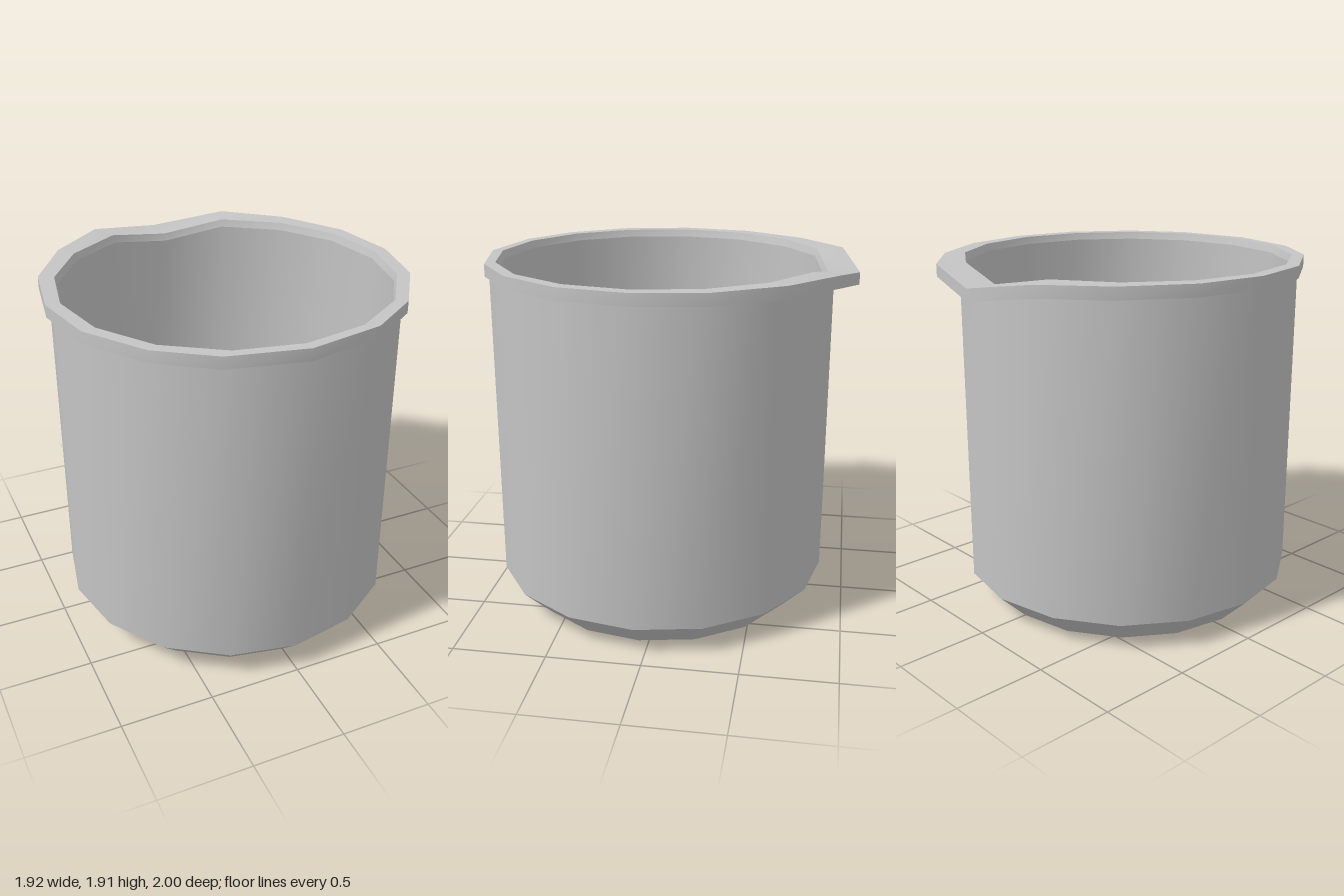
import * as THREE from 'three';
import { mergeGeometries } from 'three/addons/utils/BufferGeometryUtils.js';

const SIDES = 16;
const CENTRE_Z = 0.055;
const DROOP = 0.06; // how far the pouring lip dips at the back

// Round ring; the back corner can dip to follow the lip
function ring(radius, y, droop = 0) {
  return Array.from({ length: SIDES }, (_, k) => {
    const a = (k / SIDES) * Math.PI * 2;
    return [radius * Math.sin(a), y - (k === SIDES / 2 ? droop : 0), CENTRE_Z + radius * Math.cos(a)];
  });
}

// Outer edge of the rim, half outline from front to back, mirrored
const HALF_RIM = [
  [0, 1], [0.4, 0.915], [0.68, 0.72], [0.89, 0.41], [0.96, 0.05],
  [0.895, -0.325], [0.69, -0.66], [0.4, -0.905], [0, -1],
];
function rimRing(y) {
  return Array.from({ length: SIDES }, (_, k) => {
    const [x, z] = HALF_RIM[k <= 8 ? k : SIDES - k];
    return [k <= 8 ? x : -x, y - (k === 8 ? DROOP : 0), z];
  });
}

// Smooth band between two rings; separate bands keep creases sharp
function band(a, b) {
  const geometry = new THREE.BufferGeometry();
  geometry.setAttribute('position', new THREE.Float32BufferAttribute([...a, ...b].flat(), 3));
  const index = [];
  for (let k = 0; k < SIDES; k++) {
    const n = (k + 1) % SIDES;
    index.push(k, n, SIDES + n, k, SIDES + n, SIDES + k);
  }
  geometry.setIndex(index);
  geometry.computeVertexNormals();
  return geometry;
}

function part(name, rings, material) {
  const bands = rings.slice(1).map((r, i) => band(rings[i], r));
  const mesh = new THREE.Mesh(mergeGeometries(bands), material);
  mesh.name = name;
  return mesh;
}

export function createModel() {
  const group = new THREE.Group();
  group.name = 'pot';
  const metal = new THREE.MeshStandardMaterial({ color: 0xc4c4c4 });
  metal.name = 'grey metal';

  // Base, chamfer and outer wall
  group.add(part('outerWall', [
    ring(0, 0), ring(0.765, 0), ring(0.922, 0.155), ring(0.922, 1.85, DROOP),
  ], metal));

  // Overhanging rim with the pouring lip
  group.add(part('rim', [
    ring(0.922, 1.85, DROOP), rimRing(1.85), rimRing(1.915),
    ring(0.887, 1.915, DROOP), ring(0.875, 1.875, DROOP),
  ], metal));

  // Inside wall, chamfer and floor
  group.add(part('innerWall', [
    ring(0.875, 1.875, DROOP), ring(0.875, 0.16), ring(0.762, 0.045), ring(0, 0.045),
  ], metal));

  return group;
}
